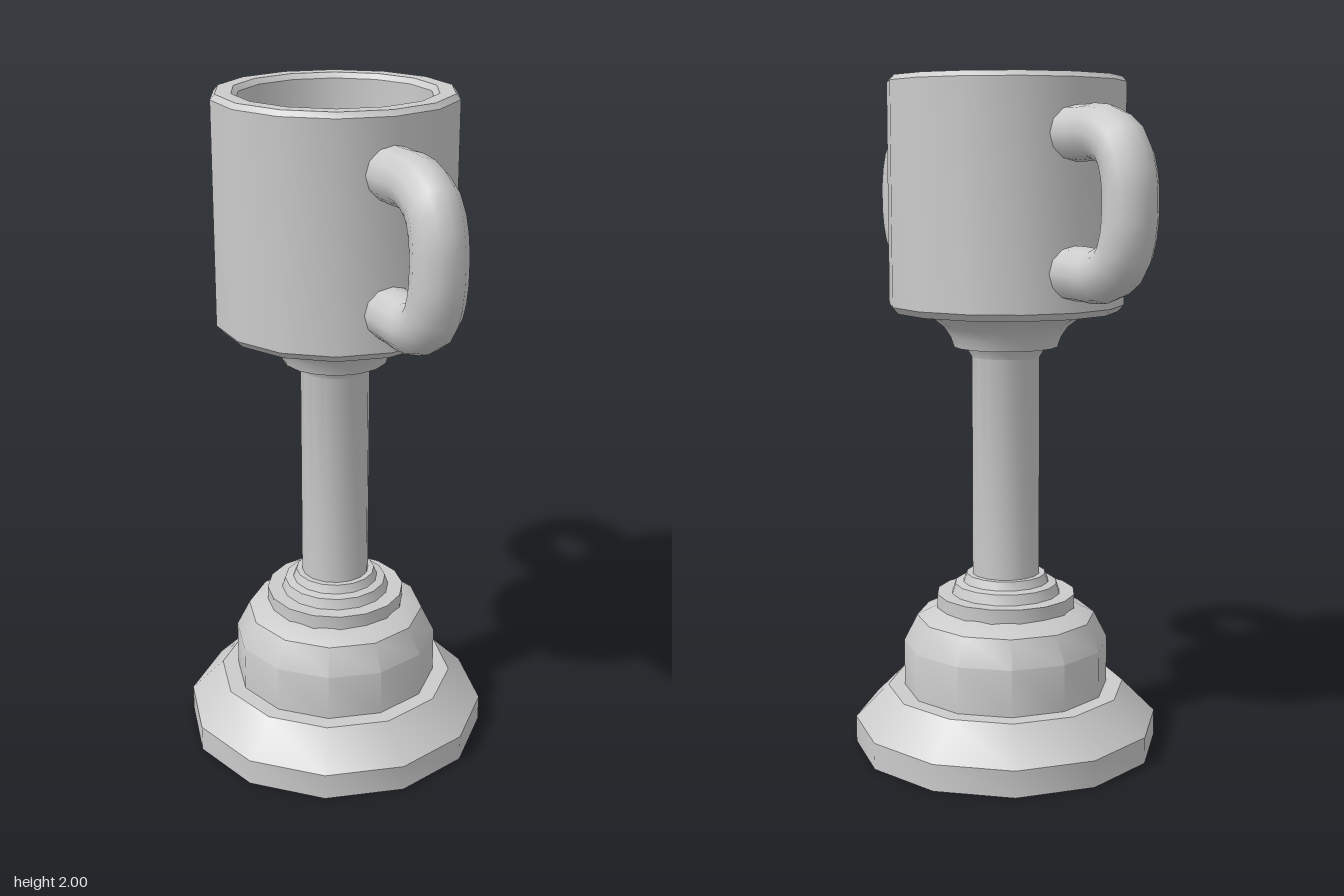
import * as THREE from 'three';
import { toCreasedNormals } from 'three/addons/utils/BufferGeometryUtils.js';

const material = new THREE.MeshStandardMaterial({ color: 0xcccccc });

// Turned part from a [radius, height] profile, listed bottom to top on the outside
function turned(name, sides, profile) {
  const points = profile.map(([r, y]) => new THREE.Vector2(r, y));
  const geometry = toCreasedNormals(new THREE.LatheGeometry(points, sides), 0.6);
  const mesh = new THREE.Mesh(geometry, material);
  mesh.name = name;
  return mesh;
}

// Rounded D-shaped handle standing out along z on the given side
function handle(name, side) {
  const path = new THREE.CatmullRomCurve3([
    [1.835, 0.31], [1.835, 0.39], [1.835, 0.47], [1.795, 0.55], [1.725, 0.583], [1.645, 0.59],
    [1.565, 0.583], [1.495, 0.55], [1.455, 0.47], [1.455, 0.39], [1.455, 0.31],
  ].map(([y, z]) => new THREE.Vector3(0, y, z * side)));
  const mesh = new THREE.Mesh(new THREE.TubeGeometry(path, 20, 0.076, 12), material);
  mesh.name = name;
  return mesh;
}

export function createModel() {
  const model = new THREE.Group();
  model.name = 'trophyCup';

  // Stepped foot: wide plinth, dome and two small collars
  model.add(turned('base', 12, [
    [0, 0], [0.46, 0], [0.46, 0.08], [0.36, 0.18], [0.31, 0.18], [0.31, 0.32],
    [0.27, 0.4], [0.21, 0.43], [0, 0.43],
  ]));
  model.add(turned('baseCollar', 16, [
    [0, 0.42], [0.21, 0.42], [0.21, 0.47], [0.165, 0.47], [0.155, 0.5],
    [0.13, 0.505], [0.12, 0.53], [0.09, 0.53],
  ]));

  // Slim column
  model.add(turned('stem', 16, [[0.102, 0.5], [0.102, 1.19], [0.12, 1.22]]));

  // Flared support beneath the cup
  model.add(turned('cupSupport', 16, [
    [0.09, 1.22], [0.155, 1.22], [0.165, 1.25], [0.185, 1.28],
    [0.215, 1.303], [0.26, 1.325], [0, 1.34],
  ]));

  // Hollow cup with softened rim and bottom edge
  model.add(turned('cup', 14, [
    [0, 1.325], [0.33, 1.325], [0.348, 1.345], [0.348, 1.985], [0.335, 2], [0.29, 2],
    [0.276, 1.985], [0.276, 1.45], [0.25, 1.4], [0, 1.4],
  ]));

  // Front and back handles
  model.add(handle('frontHandle', 1), handle('backHandle', -1));

  return model;
}
